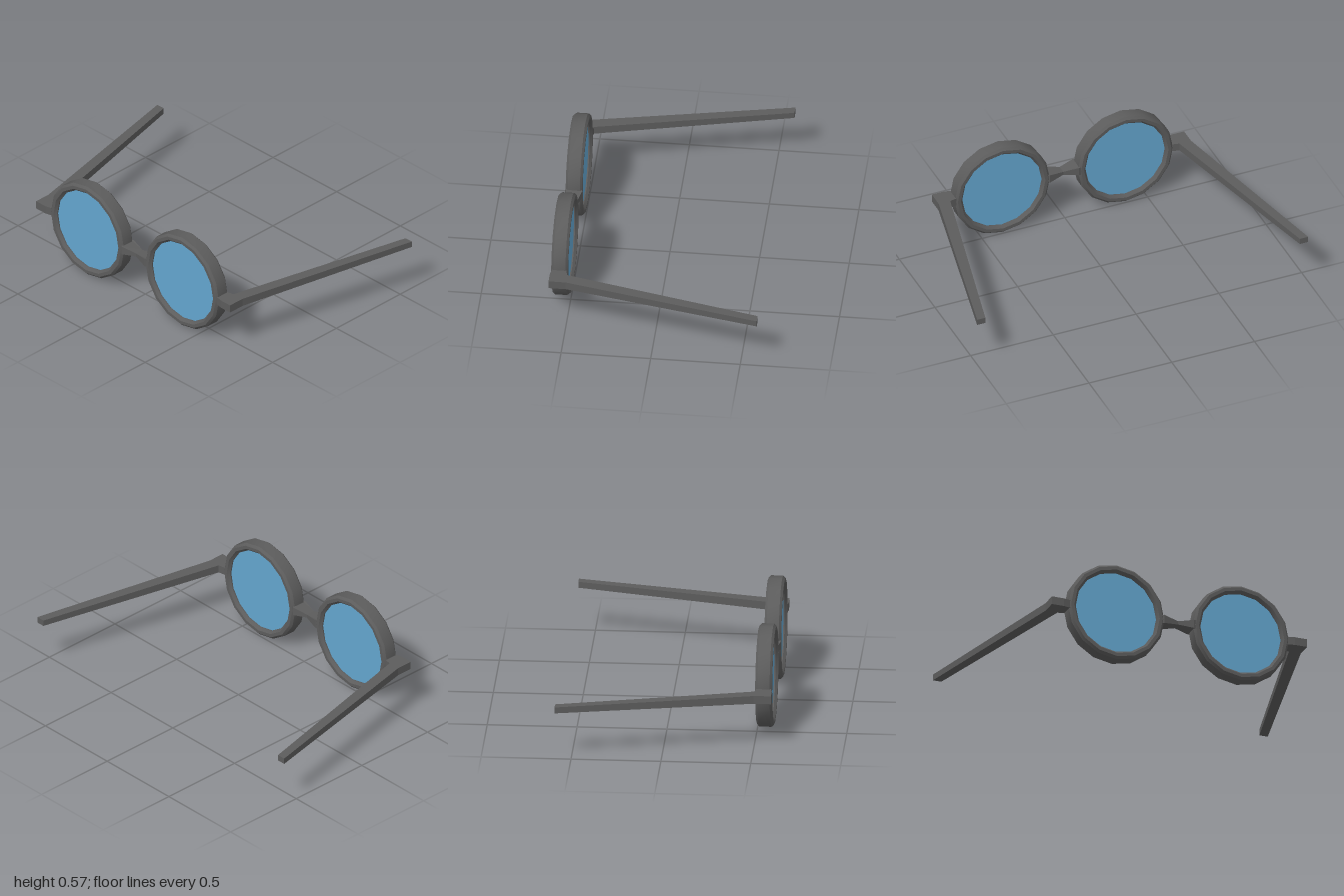
import * as THREE from 'three';
import { toCreasedNormals } from 'three/addons/utils/BufferGeometryUtils.js';

const CX = -0.547, CY = 0.291, CZ = 0.372;

export function createModel() {
  const model = new THREE.Group();
  model.name = 'roundGlasses';

  const frameMat = new THREE.MeshStandardMaterial({ color: 0x5c5c5c });
  frameMat.name = 'charcoal frame';
  const lensMat = new THREE.MeshStandardMaterial({ color: 0x63a5ce });
  lensMat.name = 'blue lens';

  const add = (name, geometry, material, x = 0, y = 0, z = 0) => {
    const mesh = new THREE.Mesh(geometry, material);
    mesh.name = name;
    mesh.position.set(x, y, z);
    model.add(mesh);
  };

  // Flat bar with an [x, z] footprint; halfHeight(x, z) tapers its thickness
  const bar = (footprint, side, halfHeight) => {
    const shape = new THREE.Shape(footprint.map(([x, z]) => new THREE.Vector2(x, -z * side)));
    const geo = new THREE.ExtrudeGeometry(shape, { depth: 2, bevelEnabled: false });
    geo.translate(0, 0, -1);
    geo.rotateX(-Math.PI / 2);
    const p = geo.attributes.position;
    for (let i = 0; i < p.count; i++) {
      p.setY(i, Math.sign(p.getY(i)) * halfHeight(p.getX(i), Math.abs(p.getZ(i))));
    }
    geo.computeVertexNormals();
    return geo;
  };

  // Chamfered sixteen-sided rim, turned to face along x
  const profile = [
    [0.287, -0.034], [0.287, 0.034], [0.274, 0.047], [0.255, 0.047],
    [0.241, 0.032], [0.241, -0.032], [0.255, -0.047], [0.274, -0.047], [0.287, -0.034],
  ].map(([r, h]) => new THREE.Vector2(r, h));
  const rim = toCreasedNormals(
    new THREE.LatheGeometry(profile, 16).rotateZ(-Math.PI / 2), Math.PI / 6);

  // Thick lens sitting just inside the rim
  const lens = toCreasedNormals(
    new THREE.CylinderGeometry(0.248, 0.248, 0.05, 16).rotateZ(-Math.PI / 2), Math.PI / 6);

  // Hinge block running into the splayed arm
  const armPlan = [
    [-0.585, 0.64], [-0.596, 0.69], [-0.596, 0.762], [-0.5, 0.762],
    [0.592, 1], [0.592, 0.95], [-0.5, 0.692], [-0.51, 0.64],
  ];
  const armHalf = (x) => 0.0235 - 0.006 * (x + 0.596) / 1.188;

  // Half of the waisted nose bridge
  const bridgePlan = [[-0.573, 0], [-0.595, 0.09], [-0.585, 0.105], [-0.51, 0.105], [-0.5, 0.09], [-0.521, 0]];
  const bridgeHalf = (x, z) => 0.01 + 0.015 * Math.min(1, z / 0.09);

  for (const [label, side] of [['front', 1], ['back', -1]]) {
    add(label + 'Rim', rim, frameMat, CX, CY, side * CZ);
    add(label + 'Lens', lens, lensMat, CX, CY, side * CZ);
    add(label + 'Arm', bar(armPlan, side, armHalf), frameMat, 0, CY);
    add(label + 'BridgeHalf', bar(bridgePlan, side, bridgeHalf), frameMat, 0, CY + 0.002);
  }

  return model;
}
